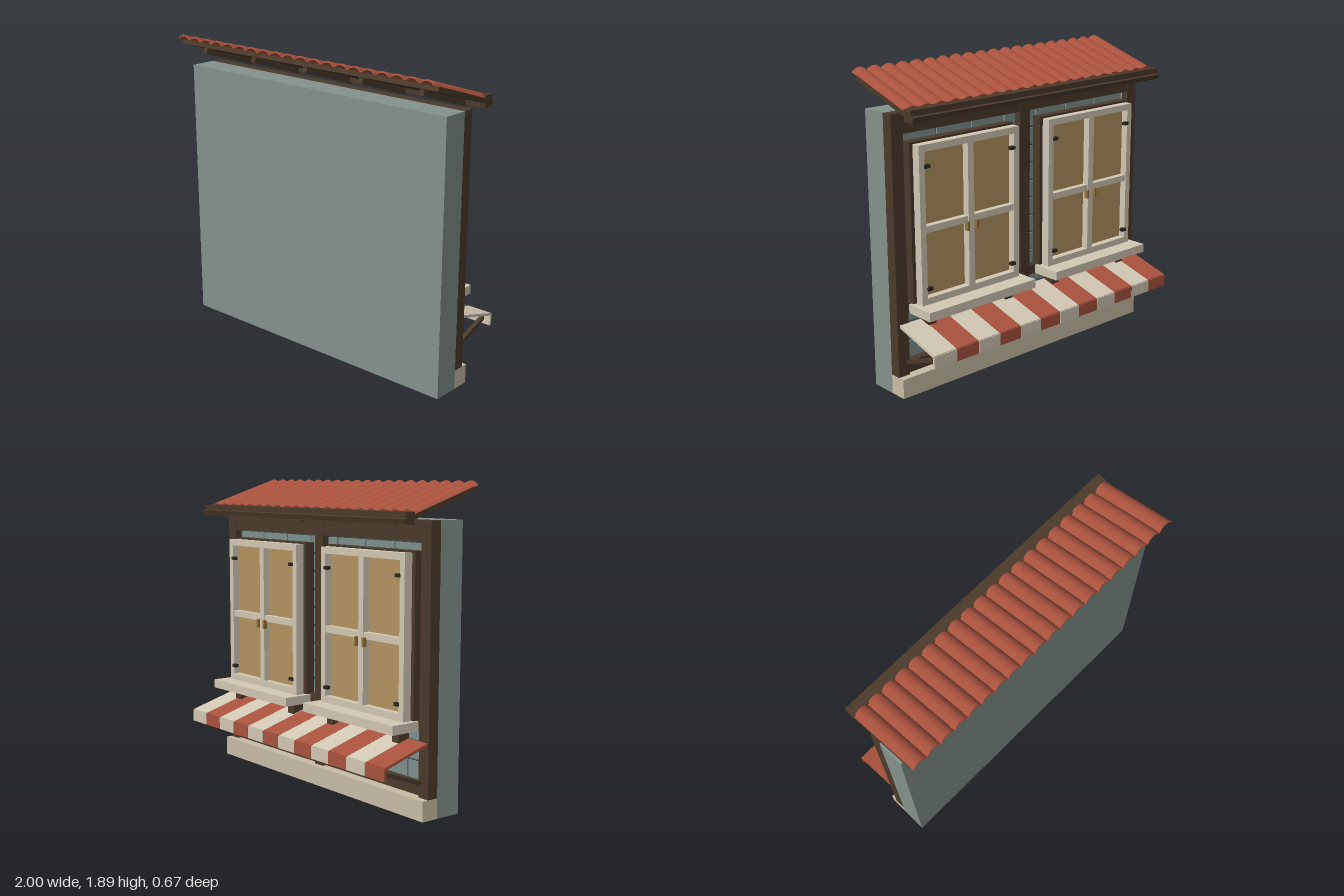
import * as THREE from 'three';

const mat = (name, color) => {
  const m = new THREE.MeshStandardMaterial({ color });
  m.name = name;
  return m;
};

export function createModel() {
  const plaster = mat('plaster', 0x84918c);
  const brick = mat('brick', 0x7d908e);
  const mortar = mat('mortar', 0x444d4c);
  const timber = mat('timber', 0x4a3a2b);
  const stone = mat('stone', 0xc8bea6);
  const cream = mat('cream', 0xd2c8b4);
  const red = mat('terracotta', 0xa9523d);
  const pane = mat('pane', 0xb39460);
  const brass = mat('brass', 0x94713a);
  const iron = mat('iron', 0x2a2622);

  const model = new THREE.Group();
  model.name = 'wallWithWindows';

  const group = (name, parent = model) => {
    const g = new THREE.Group();
    g.name = name;
    parent.add(g);
    return g;
  };
  // Box given by its minimum and maximum on each axis
  const box = (name, m, [x0, x1], [y0, y1], [z0, z1], parent = model) => {
    const mesh = new THREE.Mesh(new THREE.BoxGeometry(x1 - x0, y1 - y0, z1 - z0), m);
    mesh.position.set((x0 + x1) / 2, (y0 + y1) / 2, (z0 + z1) / 2);
    mesh.name = name;
    parent.add(mesh);
    return mesh;
  };
  // Bar running between two points of the y-z plane
  const bar = (name, m, x, width, thick, [ya, za], [yb, zb], parent = model) => {
    const dy = yb - ya, dz = zb - za;
    const mesh = new THREE.Mesh(new THREE.BoxGeometry(width, thick, Math.hypot(dy, dz)), m);
    mesh.position.set(x, (ya + yb) / 2, (za + zb) / 2);
    mesh.rotation.x = -Math.atan(dy / dz);
    mesh.name = name;
    parent.add(mesh);
    return mesh;
  };

  // Wall and plinth
  box('wall', plaster, [-1, 1], [0, 1.68], [0.05, 0.215]);
  box('plinth', stone, [-1, 1], [0, 0.12], [-0.06, 0.05]);

  // Brick facing in staggered courses
  const bricks = group('brickFacing');
  box('mortarBed', mortar, [-0.95, 0.95], [0.15, 1.6], [0.035, 0.055], bricks);
  const course = 0.113, brickLength = 0.26, gap = 0.006;
  for (let r = 0; r < 12; r++) {
    const y = 0.2 + r * course;
    for (let x = -1.04 - (r % 2) * brickLength / 2; x < 0.94; x += brickLength) {
      const a = Math.max(x + gap, -0.95), b = Math.min(x + brickLength - gap, 0.95);
      if (b - a > 0.02) box('brick', brick, [a, b], [y + gap, y + course - gap], [0.025, 0.04], bricks);
    }
  }

  // Timber frame
  const frame = group('timberFrame');
  for (const x of [-0.96, 0, 0.96]) box('post', timber, [x - 0.04, x + 0.04], [0.12, 1.68], [-0.02, 0.05], frame);
  for (const [a, b] of [[0.13, 0.2], [0.5, 0.56], [1.56, 1.62], [1.62, 1.68]])
    box('rail', timber, [-0.995, 0.995], [a, b], [-0.016, 0.05], frame);

  // Windows
  for (const c of [-0.5, 0.5]) {
    const w = group('window');
    const X = (a, b) => [c + a, c + b];
    // Dark casing behind the sashes
    for (const s of [-1, 1]) {
      const inner = s * 0.33, outer = s * 0.39;
      box('casingSide', timber, X(Math.min(inner, outer), Math.max(inner, outer)), [0.555, 1.5], [-0.035, 0.03], w);
    }
    box('casingTop', timber, X(-0.39, 0.39), [1.45, 1.51], [-0.035, 0.03], w);
    box('glass', pane, X(-0.36, 0.36), [0.58, 1.46], [-0.055, -0.037], w);
    // Outer frame
    for (const s of [-1, 1])
      box('frameSide', cream, X(s * 0.355 - 0.02, s * 0.355 + 0.02), [0.555, 1.5], [-0.1, -0.045], w);
    box('frameTop', cream, X(-0.336, 0.336), [1.46, 1.5], [-0.1, -0.045], w);
    box('frameBottom', cream, X(-0.336, 0.336), [0.555, 0.595], [-0.1, -0.045], w);
    // Sash bars
    box('mullion', cream, X(-0.022, 0.022), [0.59, 1.465], [-0.1, -0.045], w);
    for (const s of [-1, 1])
      box('crossBar', cream, X(s * 0.18 - 0.16, s * 0.18 + 0.16), [0.985, 1.025], [-0.095, -0.045], w);
    // Handles and hinges
    for (const s of [-1, 1]) {
      box('handle', brass, X(s * 0.035 - 0.008, s * 0.035 + 0.008), [0.94, 0.995], [-0.115, -0.09], w);
      for (const y of [0.65, 1.375])
        box('hinge', iron, X(s * 0.322 - 0.018, s * 0.322 + 0.018), [y - 0.01, y + 0.01], [-0.11, -0.085], w);
    }
    // Sill on corbels
    box('sill', cream, X(-0.41, 0.41), [0.5, 0.555], [-0.21, -0.015], w);
    for (const s of [-1, 1])
      box('corbel', timber, X(s * 0.3 - 0.03, s * 0.3 + 0.03), [0.41, 0.5], [-0.09, -0.015], w);
  }

  // Striped awning with valance and struts
  const awning = group('awning');
  const stripe = 1.975 / 12;
  for (let i = 0; i < 12; i++) {
    const x = -0.99 + (i + 0.5) * stripe, m = i % 2 ? cream : red;
    bar('awningStripe', m, x, stripe - 0.002, 0.016, [0.437, -0.018], [0.346, -0.328], awning);
    box('valance', m, [x - stripe / 2 + 0.001, x + stripe / 2 - 0.001], [0.275, 0.35], [-0.336, -0.32], awning);
  }
  for (const x of [-0.93, 0.93]) bar('strut', timber, x, 0.025, 0.022, [0.2, -0.015], [0.315, -0.322], awning);

  // Sloping roof
  const roof = group('roof');
  roof.position.y = 1.75;
  roof.rotation.x = -Math.atan(0.323);
  box('roofBoard', timber, [-1, 1], [-0.015, 0.013], [-0.231, 0.31], roof);
  for (const x of [-0.85, -0.425, 0, 0.425, 0.85])
    box('rafter', timber, [x - 0.016, x + 0.016], [-0.05, -0.014], [-0.178, 0.245], roof);

  // Curved roof tiles
  const tile = new THREE.Shape();
  tile.moveTo(-0.05, 0);
  tile.quadraticCurveTo(-0.03, 0.027, 0, 0.027);
  tile.quadraticCurveTo(0.03, 0.027, 0.05, 0);
  tile.lineTo(0.042, 0);
  tile.quadraticCurveTo(0.025, 0.017, 0, 0.017);
  tile.quadraticCurveTo(-0.025, 0.017, -0.042, 0);
  tile.closePath();
  const tileGeo = new THREE.ExtrudeGeometry(tile, { depth: 0.5, bevelEnabled: false, curveSegments: 5 });
  for (let i = 0; i < 20; i++) {
    const t = new THREE.Mesh(tileGeo, red);
    t.name = 'roofTile';
    t.position.set(-0.95 + i * 0.1, 0.011, -0.147);
    roof.add(t);
  }

  // Beam along the eave
  box('eaveBeam', timber, [-1, 1], [1.66, 1.73], [-0.207, -0.142]);

  return model;
}
